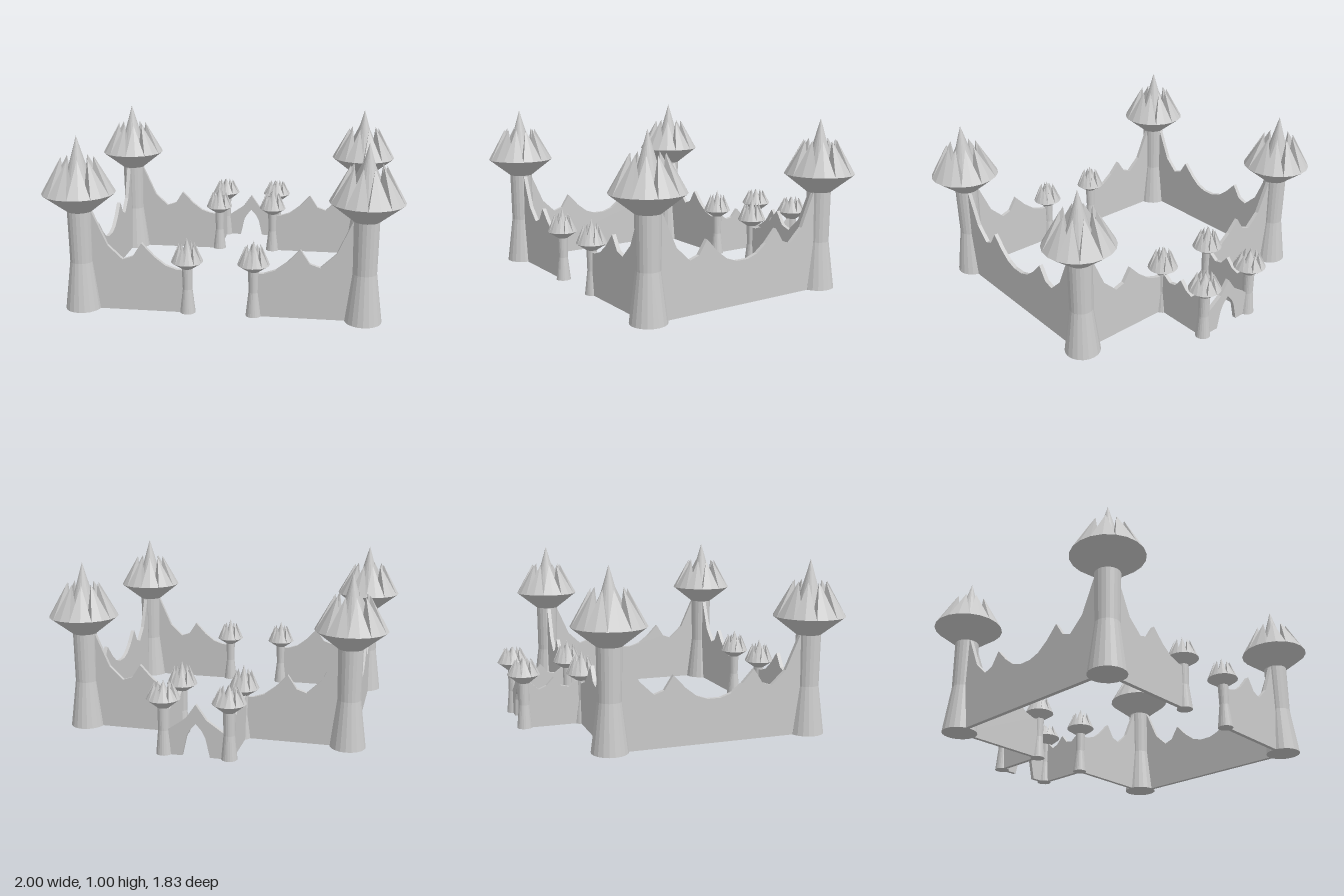
import * as THREE from 'three';

const material = new THREE.MeshStandardMaterial({ color: 0xcccccc, flatShading: true });
const SPIKES = 10;

// Half of a curtain wall's top edge: [distance from the big tower, height]
const HALF_TOP = [[0, 0.6], [0.07, 0.57], [0.155, 0.38], [0.24, 0.3], [0.298, 0.32], [0.35, 0.4],
  [0.42, 0.325], [0.485, 0.275], [0.55, 0.253], [0.6, 0.25]];

function add(parent, name, geometry) {
  const mesh = new THREE.Mesh(geometry, material);
  mesh.name = name;
  parent.add(mesh);
  return mesh;
}

// Ring of leaning pyramids rising from the rim
function spikeRing(rimR, rimY, tipR, tipY, innerR) {
  const pos = [];
  const at = (r, y, a) => [r * Math.cos(a), y, r * Math.sin(a)];
  const half = Math.PI / SPIKES;
  for (let i = 0; i < SPIKES; i++) {
    const a = i * 2 * half;
    const L = at(rimR, rimY, a + half), R = at(rimR, rimY, a - half), M = at(rimR, rimY, a);
    const IL = at(innerR, rimY, a + half), IR = at(innerR, rimY, a - half);
    const T = at(tipR, tipY, a);
    for (const tri of [[L, M, T], [M, R, T], [IL, L, T], [R, IR, T], [IR, IL, T]]) pos.push(...tri.flat());
  }
  const g = new THREE.BufferGeometry();
  g.setAttribute('position', new THREE.Float32BufferAttribute(pos, 3));
  g.computeVertexNormals();
  return g;
}

// Waisted shaft, flared bowl, spike ring and central cone
function tower(parent, name, x, z, t) {
  const group = new THREE.Group();
  group.name = name;
  group.position.set(x, 0, z);
  const profile = [[0, 0], [t.base, 0], [t.waist, t.waistY], [t.neck, t.neckY], [t.rim, t.rimY]]
    .map(([r, y]) => new THREE.Vector2(r, y));
  add(group, 'shaft', new THREE.LatheGeometry(profile, 2 * SPIKES));
  add(group, 'crownSpikes', spikeRing(t.rim, t.rimY, t.tipR, t.tipY, t.cone * 0.95));
  add(group, 'roofCone', new THREE.ConeGeometry(t.cone, t.top - t.rimY, 2 * SPIKES))
    .position.y = (t.top + t.rimY) / 2;
  parent.add(group);
}

// Upright slab from (x0, z0) to (x1, z1); outline is [distance, height]
function wall(parent, name, [x0, z0], [x1, z1], outline, thick = 0.024) {
  const shape = new THREE.Shape(outline.map(([u, v]) => new THREE.Vector2(u, v)));
  const g = new THREE.ExtrudeGeometry(shape, { depth: thick, bevelEnabled: false });
  g.translate(0, 0, -thick / 2);
  const mesh = add(parent, name, g);
  mesh.position.set(x0, 0, z0);
  mesh.rotation.y = Math.atan2(z0 - z1, x1 - x0);
}

export function createModel() {
  const model = new THREE.Group();
  model.name = 'castleWalls';

  const big = { base: 0.103, waist: 0.067, waistY: 0.28, neck: 0.071, neckY: 0.575, rim: 0.205, rimY: 0.68,
    tipR: 0.094, tipY: 0.88, cone: 0.093, top: 1 };
  const small = { base: 0.044, waist: 0.028, waistY: 0.14, neck: 0.031, neckY: 0.262, rim: 0.09, rimY: 0.302,
    tipR: 0.045, tipY: 0.41, cone: 0.041, top: 0.44 };
  const rear = { base: 0.045, waist: 0.032, waistY: 0.14, neck: 0.034, neckY: 0.27, rim: 0.096, rimY: 0.32,
    tipR: 0.05, tipY: 0.41, cone: 0.044, top: 0.42 };

  const front = 0.705, back = -0.473, gate = -0.82;
  const halfWall = [[0, 0], [0.61, 0], [0.61, 0.25], ...[...HALF_TOP].reverse()];

  // Full side wall: the half profile mirrored about its middle
  const length = front - back;
  const lower = HALF_TOP.filter(([u]) => u < 0.58);
  const sideWall = [[0, 0], [length, 0], ...lower.map(([u, v]) => [length - u, v]), ...[...lower].reverse()];

  // Short gatehouse side wall
  const gateLength = back - gate;
  const gateSide = [[0, 0], [gateLength, 0], [gateLength, 0.29], [0.31, 0.27], [0.262, 0.225], [0.217, 0.245],
    [0.172, 0.293], [0.128, 0.24], [0.08, 0.23], [0.04, 0.26], [0, 0.28]];

  for (const s of [1, -1]) {
    const side = s > 0 ? 'left' : 'right';
    tower(model, side + 'FrontTower', s * 0.795, front, big);
    tower(model, side + 'BackTower', s * 0.795, back, big);
    tower(model, side + 'FrontTurret', s * 0.187, front, small);
    tower(model, side + 'BackTurret', s * 0.187, back, small);
    tower(model, side + 'GateTurret', s * 0.187, gate, rear);
    wall(model, side + 'FrontWall', [s * 0.795, front], [s * 0.185, front], halfWall);
    wall(model, side + 'BackWall', [s * 0.795, back], [s * 0.185, back], halfWall);
    wall(model, side + 'SideWall', [s * 0.812, front], [s * 0.812, back], sideWall);
    wall(model, side + 'GateSideWall', [s * 0.193, back], [s * 0.193, gate], gateSide);
  }

  // Gabled gate wall with a pointed archway
  const gateHalf = [[0.187, 0], [0.187, 0.135], [0.155, 0.15], [0.06, 0.215]];
  const archHalf = [[0.035, 0.15], [0.055, 0.11], [0.08, 0]];
  const flip = (pts) => pts.map(([u, v]) => [-u, v]).reverse();
  const outline = [...gateHalf, [0, 0.3], ...flip(gateHalf), ...flip(archHalf), [0, 0.19], ...archHalf];
  wall(model, 'gateWall', [0, gate], [1, gate], outline);

  return model;
}
